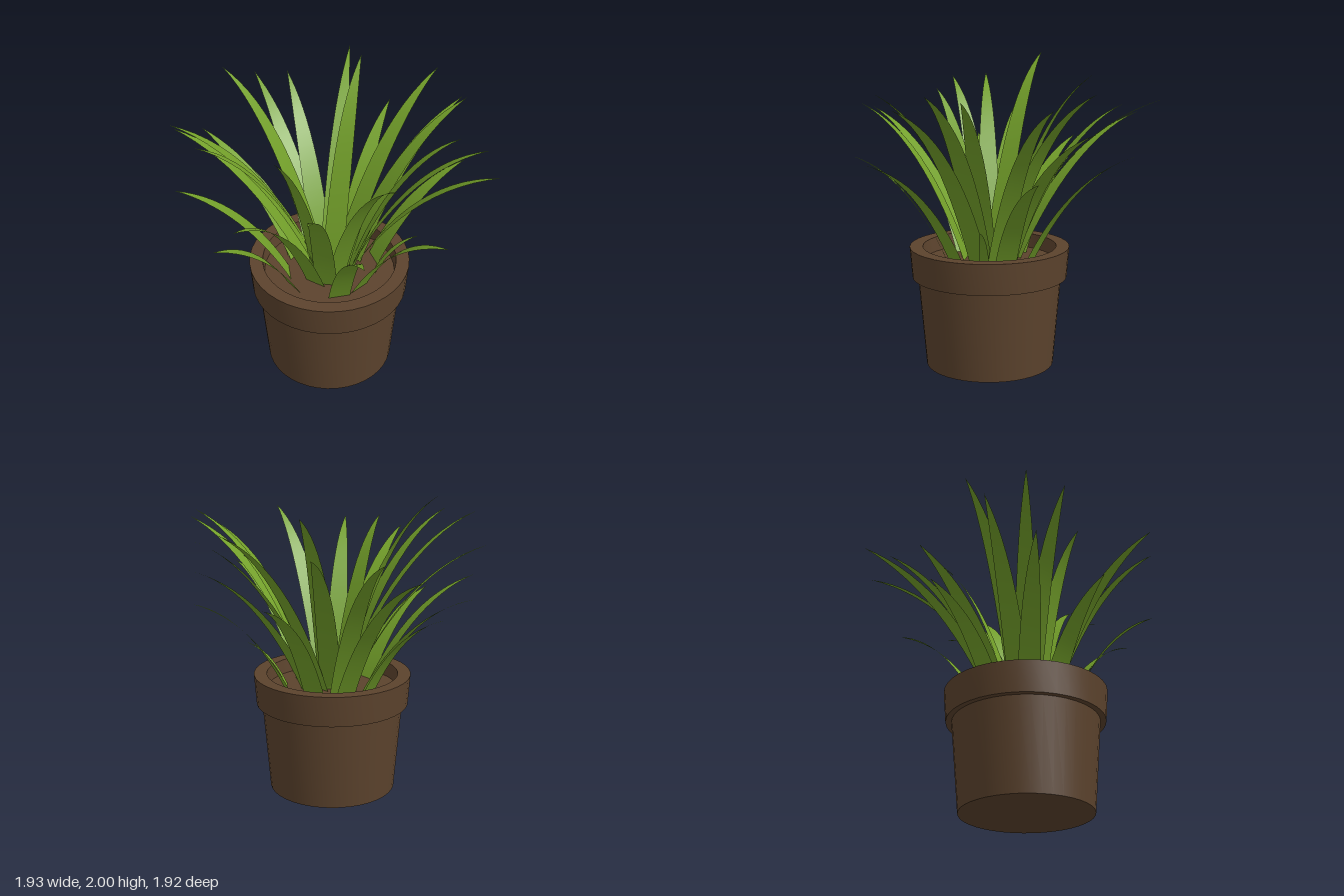
import * as THREE from 'three';
import { toCreasedNormals } from 'three/addons/utils/BufferGeometryUtils.js';

const CX = -0.011, CZ = 0.117; // pot axis
const SOIL_Y = 0.69;

// Every leaf: tip x, y, z and distance of its root from the pot axis
const LEAVES = [
  [0.09, 1.745, -0.965, 0.06], [-0.55, 1.605, -0.845, 0.18], [-0.32, 1.675, -0.735, 0.15],
  [0.37, 1.43, -0.805, 0.27], [0.17, 1.905, -0.545, 0.07], [0.66, 1.82, -0.555, 0.1],
  [0.825, 1.61, -0.545, 0.19], [0.83, 1.74, -0.315, 0.13], [0.845, 1.33, -0.235, 0.3],
  [0.55, 0.985, 0.125, 0.29], [0.755, 1.775, 0.21, 0.12], [0.9, 1.82, 0.395, 0.12],
  [0.965, 1.75, 0.56, 0.13], [0.68, 1.405, 0.775, 0.26], [0.385, 1.795, 0.785, 0.08],
  [0.21, 1.39, 0.95, 0.27], [-0.095, 1.695, 0.96, 0.15], [-0.495, 1.63, 0.95, 0.16],
  [-0.325, 1.775, 0.495, 0.09], [-0.665, 1.25, 0.655, 0.28], [-0.76, 1.83, 0.44, 0.06],
  [-0.935, 1.41, 0.275, 0.25], [-0.935, 1.84, 0.22, 0.06], [-0.97, 1.66, -0.025, 0.12],
  [-0.665, 2.0, -0.19, 0.06], [-0.86, 1.41, -0.425, 0.25], [-0.695, 1.27, -0.385, 0.28],
];

// Flat blade swept along an arching curve, tapering to a point
function leafGeometry([x, y, z, r]) {
  const out = new THREE.Vector3(x - CX, 0, z - CZ).normalize();
  const side = new THREE.Vector3(out.z, 0, -out.x);
  const tip = new THREE.Vector3(x, y, z);
  const base = new THREE.Vector3(CX + out.x * r, SOIL_Y - 0.02, CZ + out.z * r);
  const bend = base.clone().lerp(tip, 0.41);
  bend.y = THREE.MathUtils.lerp(base.y, tip.y, 0.82);
  const curve = new THREE.QuadraticBezierCurve3(base, bend, tip);
  const halfWidth = y < 1.1 ? 0.03 : 0.07;

  const steps = 14, positions = [], index = [];
  for (let i = 0; i <= steps; i++) {
    const t = i / steps, p = curve.getPoint(t);
    const w = halfWidth * (1 - Math.pow(t, 2.1));
    for (const s of [-1, 1]) {
      const v = p.clone().addScaledVector(side, s * w);
      positions.push(v.x, v.y, v.z);
    }
    if (i < steps) {
      const a = i * 2;
      index.push(a, a + 1, a + 2);
      if (i < steps - 1) index.push(a + 1, a + 3, a + 2);
    }
  }
  const geometry = new THREE.BufferGeometry();
  geometry.setAttribute('position', new THREE.Float32BufferAttribute(positions, 3));
  geometry.setIndex(index);
  geometry.computeVertexNormals();
  return geometry;
}

export function createModel() {
  const model = new THREE.Group();
  model.name = 'pottedPlant';

  const clay = new THREE.MeshStandardMaterial({ color: 0x5c432d });
  clay.name = 'brownClay';
  const green = new THREE.MeshStandardMaterial({ color: 0x73a02a, side: THREE.DoubleSide });
  green.name = 'leafGreen';

  // Tapered pot with a thick overhanging rim and hollow inside
  const profile = [
    [0, 0], [0.417, 0], [0.465, 0.585], [0.502, 0.585], [0.517, 0.785],
    [0.432, 0.785], [0.42, 0.66],
  ].map(([r, y]) => new THREE.Vector2(r, y));
  const pot = new THREE.Mesh(
    toCreasedNormals(new THREE.LatheGeometry(profile, 40), Math.PI / 6), clay);
  pot.name = 'pot';
  pot.position.set(CX, 0, CZ);
  model.add(pot);

  // Soil surface
  const soil = new THREE.Mesh(new THREE.CircleGeometry(0.425, 40), clay);
  soil.name = 'soil';
  soil.rotation.x = -Math.PI / 2;
  soil.position.set(CX, SOIL_Y, CZ);
  model.add(soil);

  // Leaves
  const leaves = new THREE.Group();
  leaves.name = 'leaves';
  LEAVES.forEach((data, i) => {
    const leaf = new THREE.Mesh(leafGeometry(data), green);
    leaf.name = `leaf${i + 1}`;
    leaves.add(leaf);
  });
  model.add(leaves);
  return model;
}
